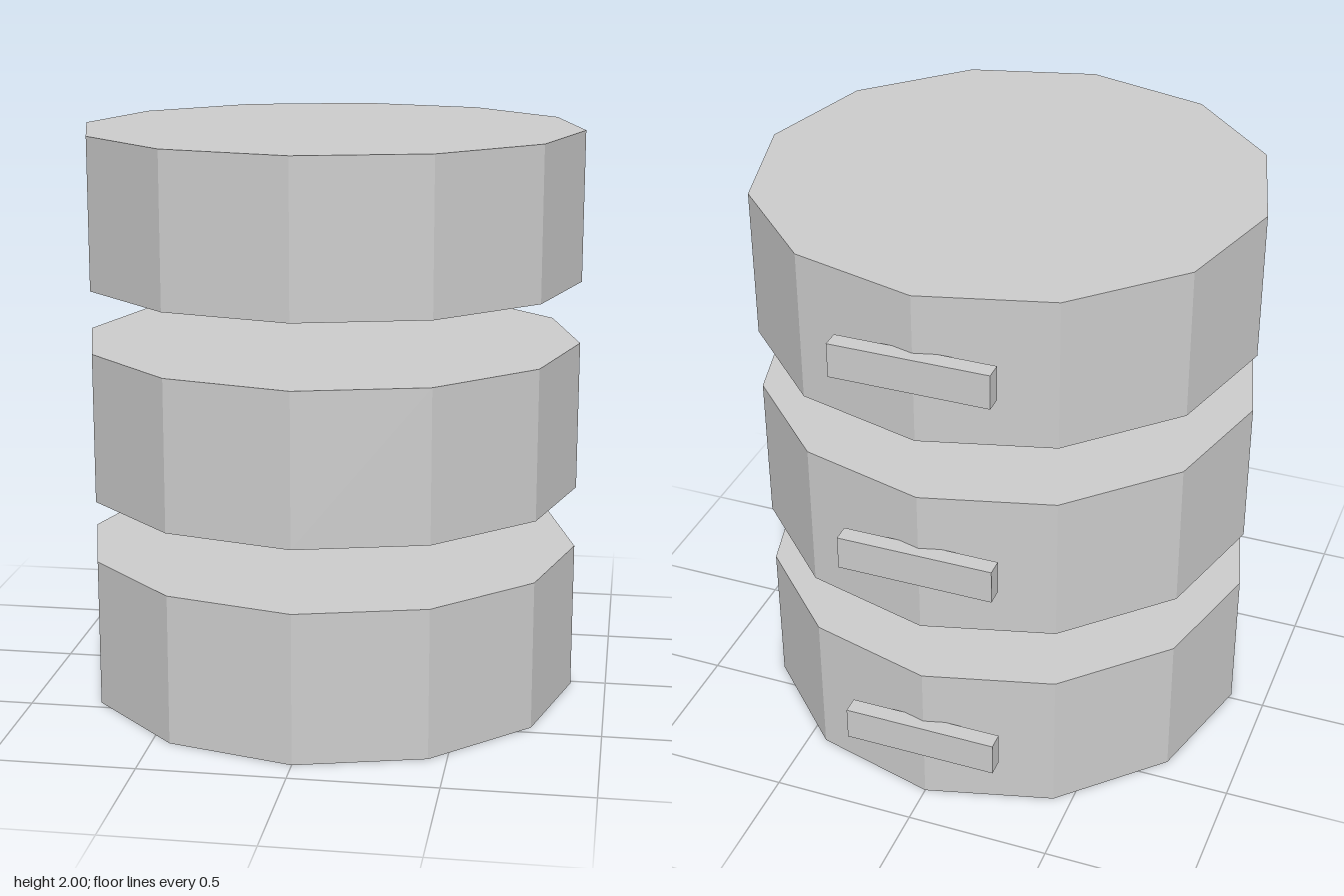
import * as THREE from 'three';

export function createModel() {
  const model = new THREE.Group();
  const grey = new THREE.MeshStandardMaterial({ color: 0xcccccc });
  grey.name = 'light grey';

  const height = 0.522, radius = 0.875, pitch = 0.739;
  // Twelve-sided drum with hard facets
  const drumGeometry = new THREE.CylinderGeometry(radius, radius, height, 12).toNonIndexed();
  drumGeometry.computeVertexNormals();
  const barGeometry = new THREE.BoxGeometry(0.54, 0.12, 0.06);

  // Three floating drums, each with a bar on its back corner
  ['lower', 'middle', 'upper'].forEach((level, i) => {
    const y = height / 2 + i * pitch;

    const drum = new THREE.Mesh(drumGeometry, grey);
    drum.name = level + 'Drum';
    drum.position.set(0, y, 0.02);

    const bar = new THREE.Mesh(barGeometry, grey);
    bar.name = level + 'BackBar';
    bar.position.set(0, y, -0.865);

    model.add(drum, bar);
  });

  return model;
}
